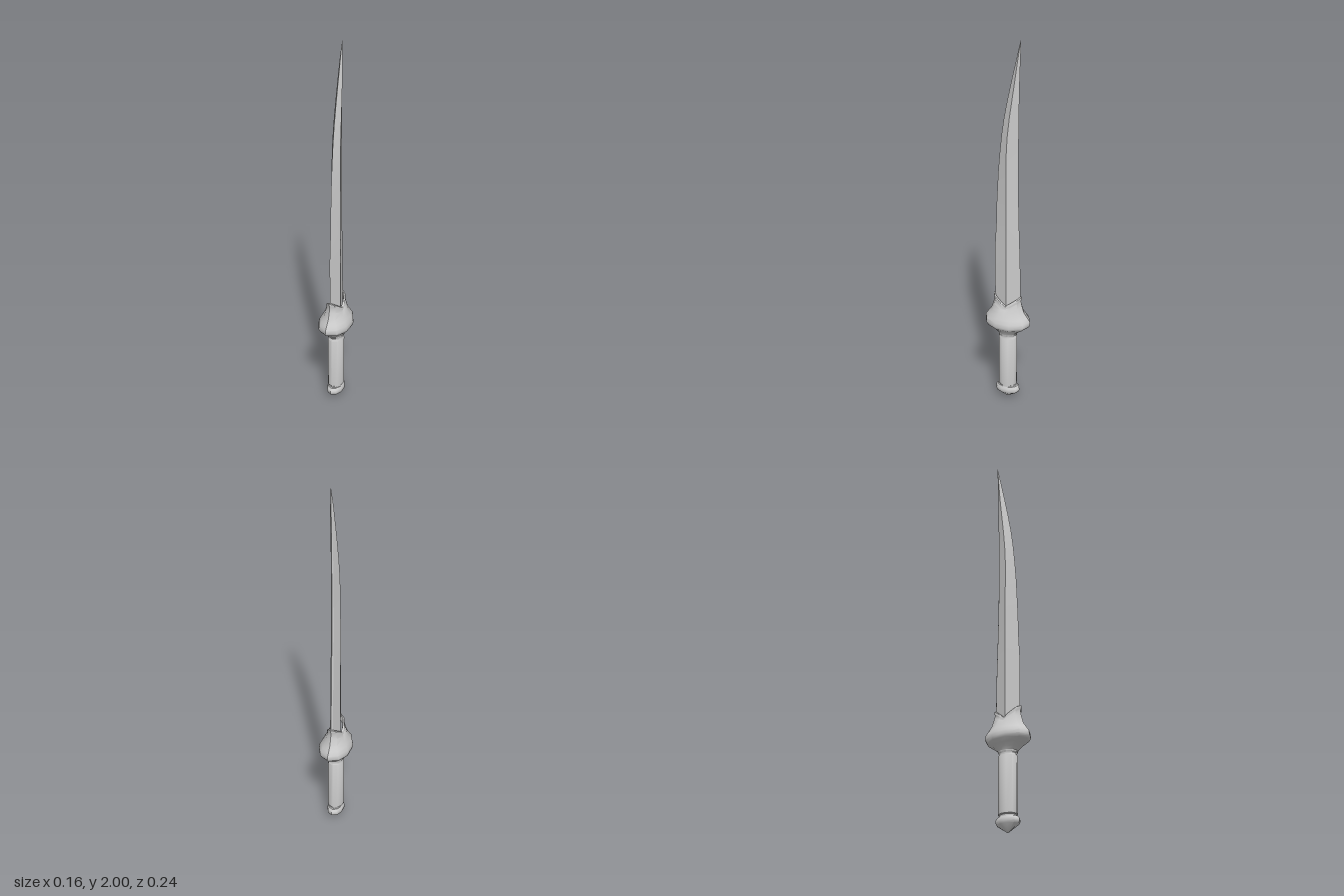
import * as THREE from 'three';
import { toCreasedNormals } from 'three/addons/utils/BufferGeometryUtils.js';

const material = new THREE.MeshStandardMaterial({ color: 0xcccccc });

// Skin a stack of closed rings, listed from bottom to top
function loft(name, rings, crease) {
  const n = rings[0].length;
  const index = [];
  for (let i = 0; i < rings.length - 1; i++) {
    for (let j = 0; j < n; j++) {
      const a = i * n + j, b = i * n + (j + 1) % n;
      index.push(a, b, b + n, a, b + n, a + n);
    }
  }
  const geometry = new THREE.BufferGeometry();
  geometry.setAttribute('position', new THREE.Float32BufferAttribute(rings.flat(2), 3));
  geometry.setIndex(index);
  const mesh = new THREE.Mesh(toCreasedNormals(geometry, crease), material);
  mesh.name = name;
  return mesh;
}

// Ten-sided oval with an extra point in the middle of each flat side;
// vee raises the front and back ends above the sides
const angles = [0, 36, 72, 90, 108, 144, 180, 216, 252, 270, 288, 324];
function oval([y, rx, rz, vee = 0]) {
  return angles.map((deg) => {
    const a = THREE.MathUtils.degToRad(deg);
    const side = deg % 180 === 90 ? Math.sin(Math.PI * 0.4) : 1;
    const c = Math.abs(deg % 180 === 90 ? 0 : Math.cos(a));
    return [Math.sin(a) * rx * side, y + vee * c, Math.cos(a) * rz];
  });
}

// Blade section: cutting edge at +z, a ridge on each cheek, narrow flat spine at -z
function bladeSection([y, edge, ridge, spine, half]) {
  const back = half * 0.3;
  return [
    [0, y, edge], [half, y, ridge], [back, y, spine + half * 0.25],
    [0, y, spine], [-back, y, spine + half * 0.25], [-half, y, ridge],
  ];
}

export function createModel() {
  const sword = new THREE.Group();
  sword.name = 'sword';

  // Pointed pommel
  sword.add(loft('pommel', [
    [0, 0, 0], [0.04, 0.04, 0.06], [0.052, 0.043, 0.066],
    [0.064, 0.042, 0.064], [0.076, 0.036, 0.054], [0.08, 0, 0],
  ].map(oval), 0.75));

  // Grip with a narrow band at each end
  sword.add(loft('grip', [
    [0.07, 0.036, 0.045], [0.084, 0.036, 0.045], [0.088, 0.042, 0.05],
    [0.375, 0.042, 0.05], [0.382, 0.038, 0.045], [0.388, 0.038, 0.045],
    [0.393, 0.042, 0.05], [0.41, 0.042, 0.05],
  ].map(oval), 0.75));

  // Flared guard rising into a notched collar with a rolled lip
  sword.add(loft('guard', [
    [0.4, 0, 0], [0.4, 0.042, 0.05], [0.415, 0.049, 0.064], [0.432, 0.063, 0.088],
    [0.448, 0.08, 0.112], [0.464, 0.085, 0.122], [0.484, 0.081, 0.121],
    [0.505, 0.071, 0.106], [0.53, 0.057, 0.089], [0.545, 0.048, 0.077, 0.025],
    [0.552, 0.041, 0.072, 0.045], [0.558, 0.041, 0.077, 0.053],
    [0.565, 0.038, 0.077, 0.056], [0.568, 0.03, 0.07, 0.055], [0.54, 0.026, 0.066, 0.045],
  ].map(oval), 0.75));

  // Blade: curved edge sweeping back to a tip in line with the spine
  sword.add(loft('blade', [
    [0.5, 0.066, 0, -0.066, 0.025], [0.62, 0.069, 0, -0.069, 0.025],
    [0.74, 0.07, 0, -0.068, 0.025], [0.86, 0.071, 0, -0.065, 0.025],
    [0.95, 0.066, 0, -0.062, 0.025], [1.02, 0.062, 0, -0.06, 0.025],
    [1.1, 0.061, 0, -0.058, 0.025], [1.2, 0.056, 0, -0.056, 0.025],
    [1.3, 0.051, 0, -0.055, 0.024], [1.4, 0.043, 0, -0.055, 0.023],
    [1.5, 0.033, -0.005, -0.056, 0.022], [1.6, 0.019, -0.015, -0.057, 0.02],
    [1.7, 0, -0.028, -0.058, 0.017], [1.8, -0.021, -0.041, -0.06, 0.013],
    [1.9, -0.043, -0.053, -0.063, 0.008], [1.95, -0.054, -0.059, -0.065, 0.004],
    [2, -0.066, -0.066, -0.066, 0],
  ].map(bladeSection), 0.3));

  return sword;
}
